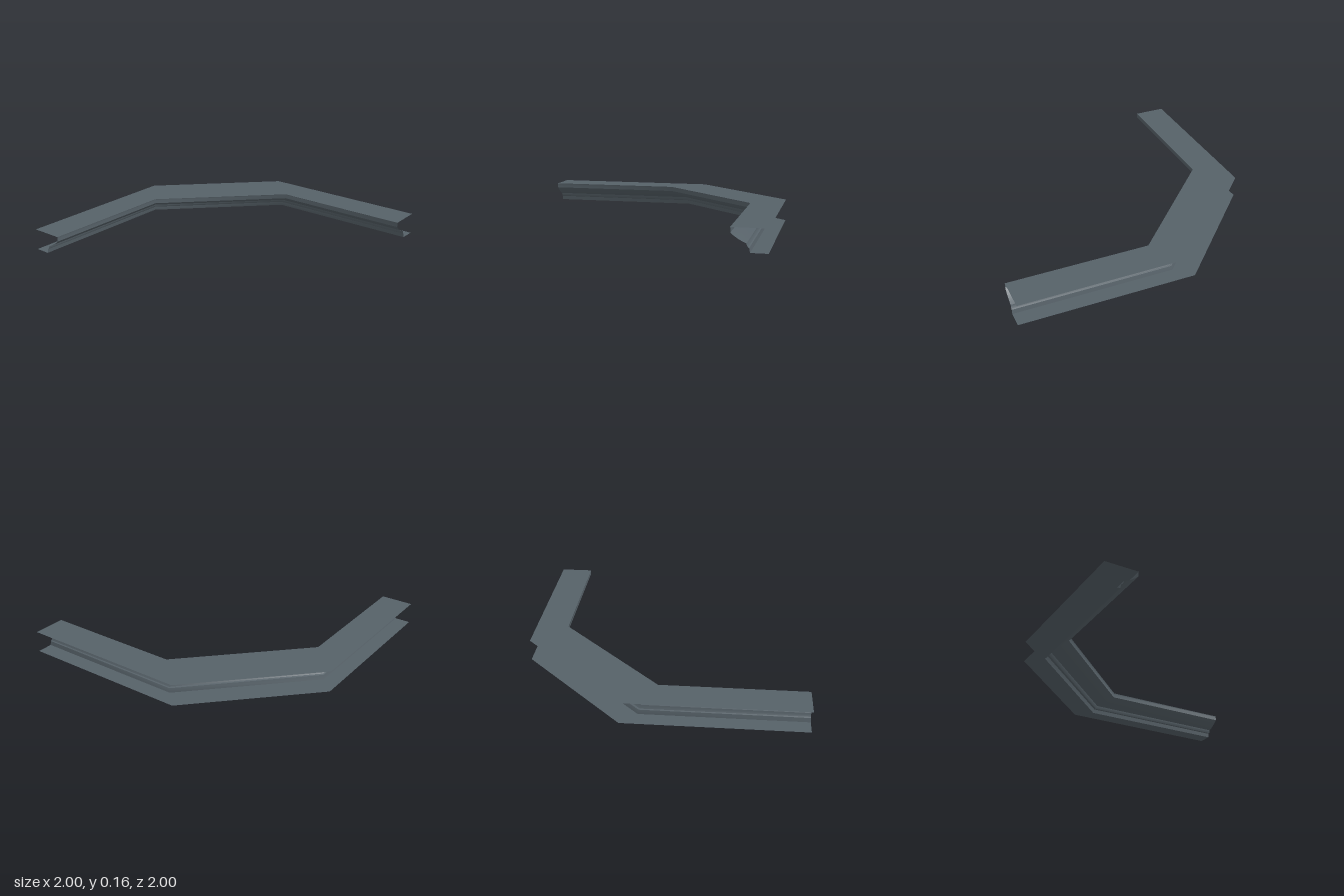
import * as THREE from 'three';

// Path of the outer edge, with the direction in which the profile depth is laid off
const path = [
  { x: 1, z: -1, dx: 0, dz: 1 },
  { x: -0.25, z: -1, dx: 1, dz: 1 },
  { x: -1, z: -0.25, dx: 1, dz: 1 },
  { x: -1, z: 1, dx: 1, dz: 0 },
];

// Sweeps a profile of [depth, height] points along the path
function sweep(profile) {
  const n = profile.length;
  const positions = [];
  const index = [];
  path.forEach((p, i) => {
    profile.forEach(([d, y], j) => {
      positions.push(p.x + p.dx * d, y, p.z + p.dz * d);
      if (i < path.length - 1 && j < n - 1) {
        const a = i * n + j;
        index.push(a, a + 1, a + n, a + 1, a + n + 1, a + n);
      }
    });
  });
  const geometry = new THREE.BufferGeometry();
  geometry.setAttribute('position', new THREE.Float32BufferAttribute(positions, 3));
  geometry.setIndex(index);
  geometry.computeVertexNormals();
  return geometry;
}

export function createModel() {
  const group = new THREE.Group();
  group.name = 'corniceMoulding';
  const slate = new THREE.MeshStandardMaterial({ color: 0x566168, side: THREE.DoubleSide });
  slate.name = 'slateGrey';

  // Hollow cove between the lower bead and the top fascia
  const cove = new THREE.QuadraticBezierCurve(
    new THREE.Vector2(0.136, 0.058),
    new THREE.Vector2(0.195, 0.082),
    new THREE.Vector2(0.236, 0.121),
  ).getPoints(6).map((p) => [p.x, p.y]);

  // Each strip is smooth in itself, with hard edges between strips
  const strips = {
    bottomPlate: [[0, 0], [0.113, 0]],
    lowerFascia: [[0.113, 0], [0.119, 0.03]],
    lowerLedge: [[0.119, 0.03], [0.127, 0.034]],
    bead: [[0.127, 0.034], [0.133, 0.045], [0.136, 0.058]],
    cove,
    upperFascia: [[0.236, 0.121], [0.236, 0.148], [0.238, 0.156]],
    topPlate: [[0.238, 0.156], [0, 0.156]],
  };
  for (const [name, profile] of Object.entries(strips)) {
    const mesh = new THREE.Mesh(sweep(profile), slate);
    mesh.name = name;
    group.add(mesh);
  }
  return group;
}
